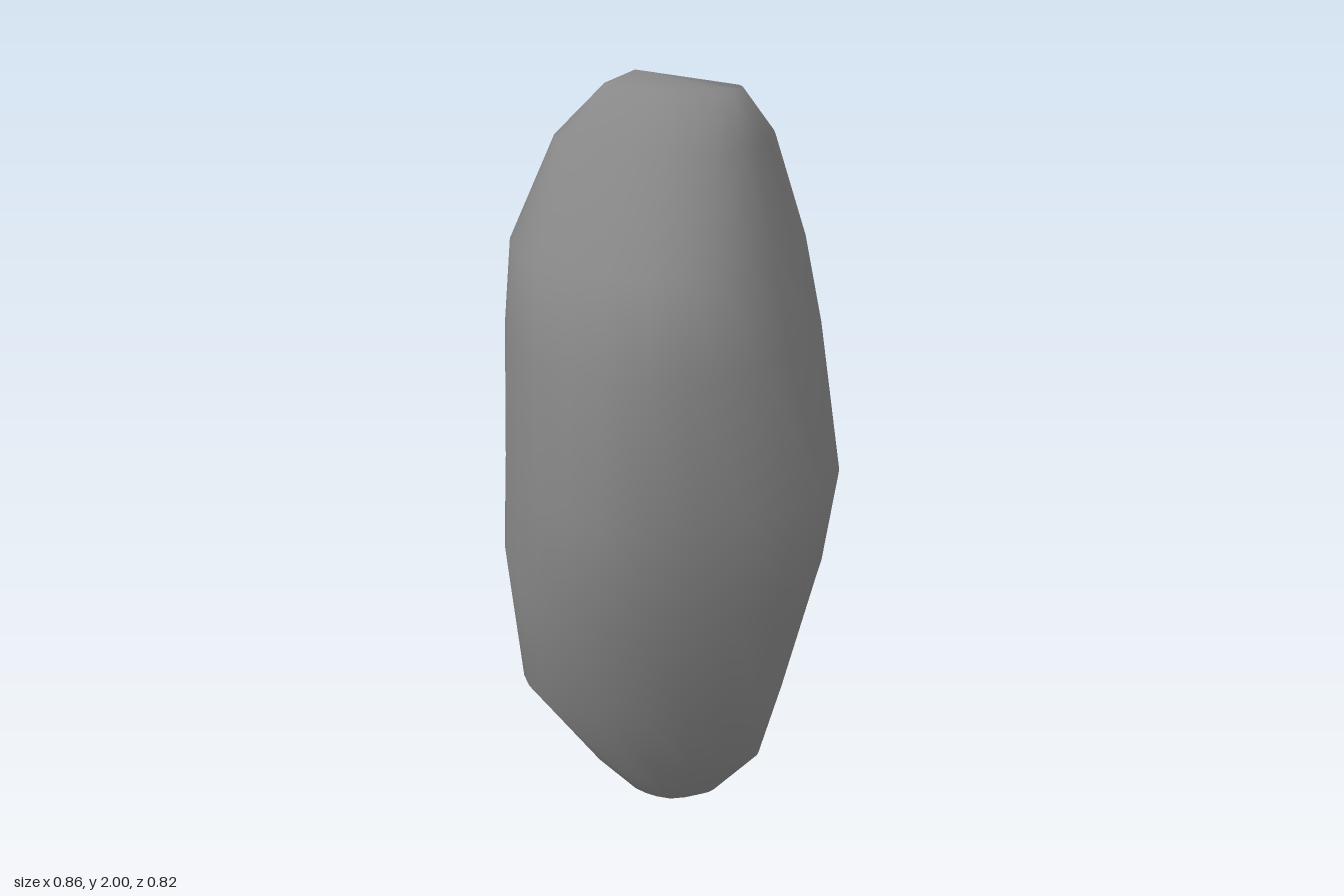
import * as THREE from 'three';

// Cross-sections from bottom to top: height, then the reach from the axis in eight
// directions, 45 degrees apart: +x, +x+z, +z, -x+z, -x, -x-z, -z, +x-z
const levels = [
  [0.06, 0.12, 0.06, 0.05, 0.09, 0.16, 0.19, 0.17, 0.13],
  [0.22, 0.25, 0.16, 0.18, 0.21, 0.26, 0.30, 0.30, 0.22],
  [0.45, 0.31, 0.27, 0.29, 0.37, 0.36, 0.39, 0.38, 0.30],
  [0.78, 0.385, 0.355, 0.405, 0.40, 0.43, 0.43, 0.40, 0.385],
  [1.05, 0.43, 0.385, 0.415, 0.395, 0.40, 0.415, 0.41, 0.40],
  [1.41, 0.345, 0.385, 0.40, 0.385, 0.37, 0.345, 0.385, 0.38],
  [1.61, 0.28, 0.30, 0.305, 0.355, 0.36, 0.305, 0.35, 0.355],
  [1.85, 0.205, 0.16, 0.155, 0.24, 0.265, 0.26, 0.25, 0.27],
  [1.965, 0.15, 0.065, 0.04, 0.12, 0.16, 0.18, 0.12, 0.17],
];
const CUT = 0.35; // how far each corner is rounded along its sides
const STEPS = 2;

// Eight-sided outline of a level with rounded corners
function outline(reach) {
  const corners = reach.map((h, k) => {
    const a = (k * Math.PI) / 4;
    const t = reach[(k + 1) % 8] * Math.SQRT2 - h;
    return new THREE.Vector2(
      h * Math.cos(a) - t * Math.sin(a),
      h * Math.sin(a) + t * Math.cos(a),
    );
  });
  return corners.flatMap((corner, k) => {
    const start = corner.clone().lerp(corners[(k + 7) % 8], CUT);
    const end = corner.clone().lerp(corners[(k + 1) % 8], CUT);
    return new THREE.QuadraticBezierCurve(start, corner, end).getPoints(STEPS);
  });
}

function createStoneGeometry() {
  const n = 8 * (STEPS + 1);
  const positions = [];
  const index = [];

  for (const [y, ...reach] of levels) {
    for (const p of outline(reach)) positions.push(p.x, y, p.y);
  }

  // Tips
  const bottom = positions.length / 3;
  const top = bottom + 1;
  positions.push(-0.04, 0, -0.03, -0.08, 2, 0);

  const last = (levels.length - 1) * n;
  for (let j = 0; j < n; j++) {
    const k = (j + 1) % n;
    for (let i = 0; i < last; i += n) {
      index.push(i + j, i + n + j, i + n + k, i + j, i + n + k, i + k);
    }
    index.push(bottom, j, k, last + j, top, last + k);
  }

  const geometry = new THREE.BufferGeometry();
  geometry.setAttribute('position', new THREE.Float32BufferAttribute(positions, 3));
  geometry.setIndex(index);
  geometry.computeVertexNormals();
  return geometry;
}

export function createModel() {
  const group = new THREE.Group();
  group.name = 'standingStone';
  const stone = new THREE.Mesh(
    createStoneGeometry(),
    new THREE.MeshStandardMaterial({ color: 0x888888 }),
  );
  stone.name = 'stone';
  group.add(stone);
  return group;
}
